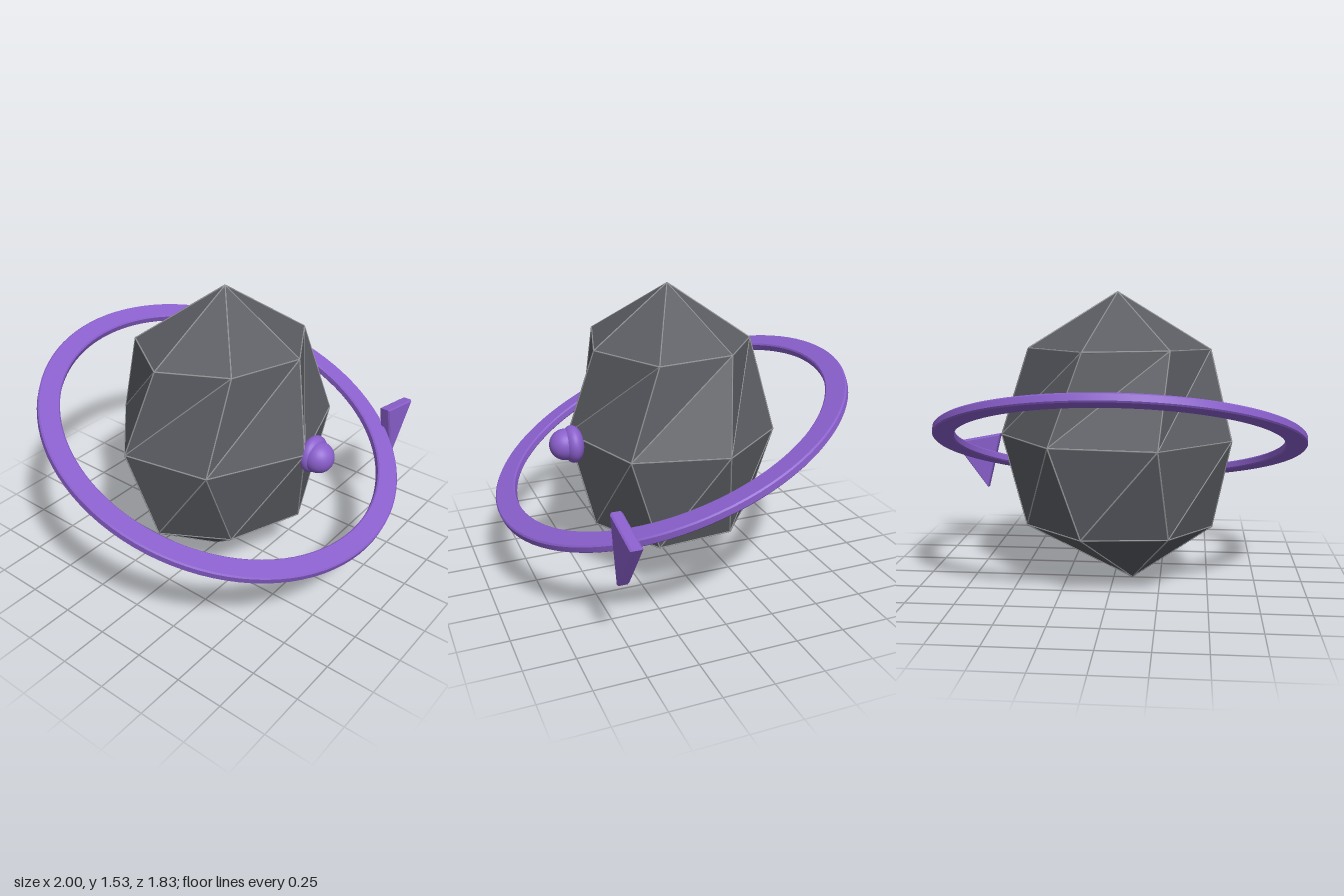
import * as THREE from 'three';
import { mergeGeometries, toCreasedNormals } from 'three/addons/utils/BufferGeometryUtils.js';

const V = (x, y, z) => new THREE.Vector3(x, y, z);

// Rock corners: three seven-sided rings between a top and a bottom point
const top = V(-0.02, 1.52, 0);
const bottom = V(-0.1, 0, 0);
const upper = [
  V(0.04, 1.225, 0.41), V(0.39, 1.215, 0.2), V(0.42, 1.24, -0.16), V(0.12, 1.235, -0.4),
  V(-0.3, 1.24, -0.35), V(-0.5, 1.23, -0.04), V(-0.35, 1.245, 0.3),
];
const middle = [
  V(-0.06, 0.775, 0.53), V(0.43, 0.77, 0.36), V(0.58, 0.785, -0.09), V(0.28, 0.78, -0.47),
  V(-0.25, 0.775, -0.5), V(-0.61, 0.775, -0.16), V(-0.54, 0.79, 0.3),
];
const lower = [
  V(0.06, 0.3, 0.43), V(0.41, 0.285, 0.21), V(0.44, 0.32, -0.16), V(0.13, 0.31, -0.41),
  V(-0.3, 0.31, -0.36), V(-0.52, 0.3, -0.04), V(-0.35, 0.32, 0.3),
];

// Thin four-sided rod between two corners
function rod(a, b, radius) {
  const dir = b.clone().sub(a);
  const g = new THREE.CylinderGeometry(radius, radius, dir.length(), 4, 1, true);
  g.applyQuaternion(new THREE.Quaternion().setFromUnitVectors(V(0, 1, 0), dir.normalize()));
  const mid = a.clone().add(b).multiplyScalar(0.5);
  return g.translate(mid.x, mid.y, mid.z);
}

export function createModel() {
  const model = new THREE.Group();
  const stone = new THREE.MeshStandardMaterial({ color: 0x5a5c62 });
  const paleEdge = new THREE.MeshStandardMaterial({ color: 0x9a9b9e });
  const purple = new THREE.MeshStandardMaterial({ color: 0x8a5fcc });
  stone.name = 'stone';
  paleEdge.name = 'paleEdge';
  purple.name = 'purple';

  const add = (name, geometry, material) => {
    const mesh = new THREE.Mesh(geometry, material);
    mesh.name = name;
    model.add(mesh);
    return mesh;
  };

  // Faceted rock and its pale edge lines
  const corners = [];
  const edges = [];
  for (let i = 0; i < 7; i++) {
    const j = (i + 1) % 7;
    corners.push(
      upper[i], upper[j], top,
      middle[i], middle[j], upper[j],
      middle[i], upper[j], upper[i],
      lower[i], lower[j], middle[j],
      lower[i], middle[j], middle[i],
      lower[j], lower[i], bottom,
    );
    [
      [upper[i], top], [upper[i], upper[j]], [middle[i], upper[i]], [middle[i], upper[j]],
      [middle[i], middle[j]], [lower[i], middle[i]], [lower[i], middle[j]],
      [lower[i], lower[j]], [lower[i], bottom],
    ].forEach(([a, b]) => edges.push(rod(a, b, 0.004)));
  }
  const rock = new THREE.BufferGeometry().setFromPoints(corners);
  rock.computeVertexNormals();
  add('rock', rock, stone);
  add('rockEdges', mergeGeometries(edges), paleEdge);

  // Flat tilted ring with chamfered edges
  const ri = 0.863, ro = 0.973, h = 0.022, c = 0.007;
  const profile = [
    [ro - c, -h], [ro, -h + c], [ro, h - c], [ro - c, h],
    [ri + c, h], [ri, h - c], [ri, -h + c], [ri + c, -h], [ro - c, -h],
  ].map(([x, y]) => new THREE.Vector2(x, y));
  const ring = add('orbitRing', toCreasedNormals(new THREE.LatheGeometry(profile, 96), 0.5), purple);
  ring.position.set(-0.03, 0.733, 0);
  ring.rotation.x = 0.37;

  // Triangular arrowhead beside the ring
  const triangle = new THREE.Shape([
    new THREE.Vector2(0.722, 0.685), new THREE.Vector2(0.802, 0.36), new THREE.Vector2(1.0, 0.632),
  ]);
  const arrow = new THREE.ExtrudeGeometry(triangle, {
    depth: 0.044, bevelEnabled: true, bevelThickness: 0.008, bevelSize: 0.008,
    bevelOffset: -0.008, bevelSegments: 1,
  });
  add('arrowhead', arrow, purple).position.z = 0.516;

  // Small ball set in a wider rounded base
  add('ball', new THREE.SphereGeometry(0.08, 32, 20), purple).position.set(0.01, 0.745, 0.567);
  const base = add('ballBase', new THREE.SphereGeometry(0.096, 32, 20), purple);
  base.position.set(0.02, 0.745, 0.53);
  base.scale.z = 0.57;

  return model;
}
